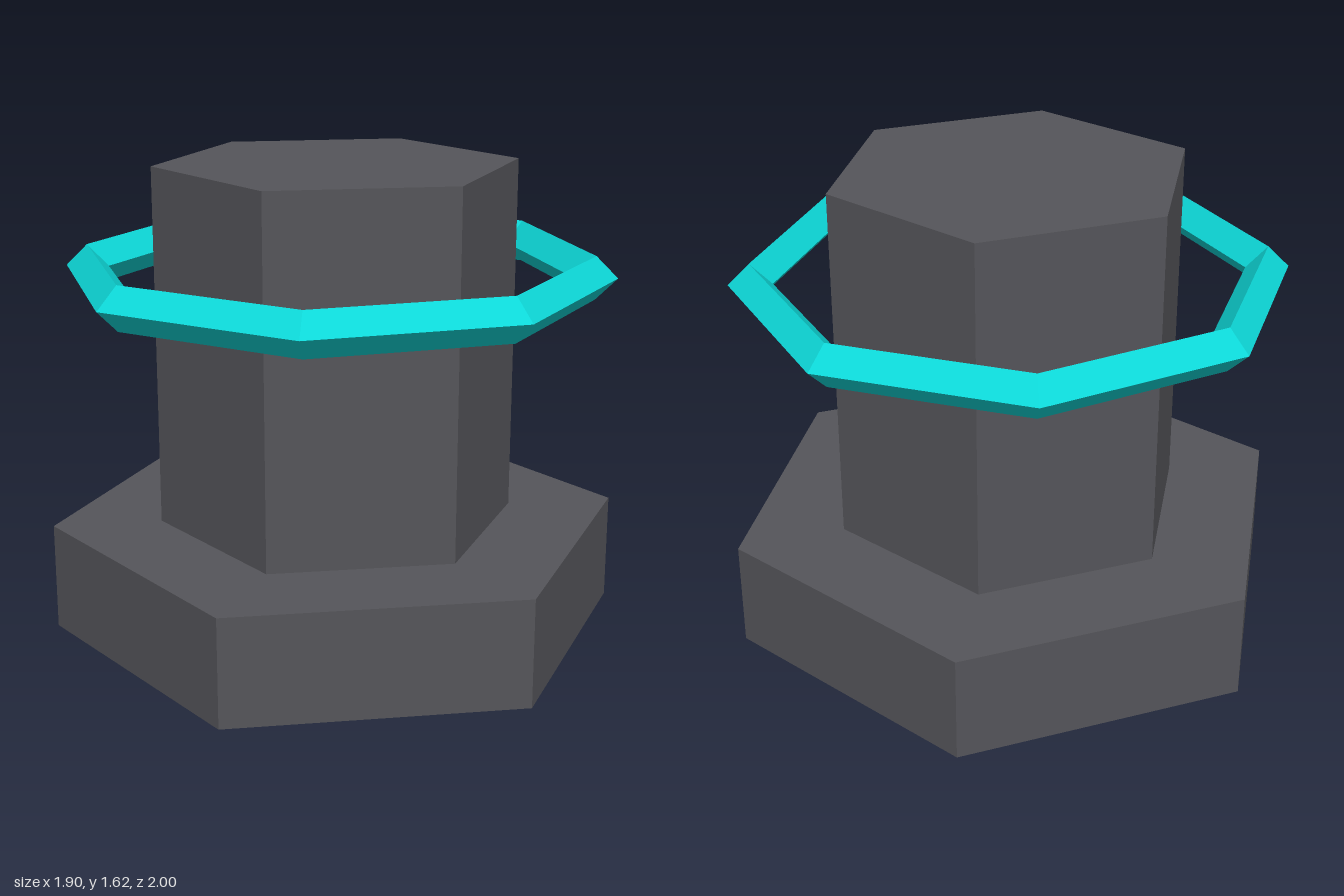
import * as THREE from 'three';

export function createModel() {
  const model = new THREE.Group();
  const stone = new THREE.MeshStandardMaterial({ color: 0x55555a, flatShading: true });
  stone.name = 'dark grey stone';
  const glow = new THREE.MeshStandardMaterial({ color: 0x0dd8d8, flatShading: true });
  glow.name = 'turquoise';

  const add = (name, geometry, material, y) => {
    const mesh = new THREE.Mesh(geometry, material);
    mesh.name = name;
    mesh.position.y = y;
    model.add(mesh);
  };

  // Hexagonal foot and column, corners towards front and back
  add('base', new THREE.CylinderGeometry(1, 1, 0.375, 6), stone, 0.1875);
  add('column', new THREE.CylinderGeometry(0.625, 0.625, 1.25, 6), stone, 1.0);

  // Floating eight-sided ring with a diamond cross-section
  add('ring', new THREE.TorusGeometry(0.875, 0.075, 4, 8).rotateX(Math.PI / 2), glow, 1.25);

  return model;
}
